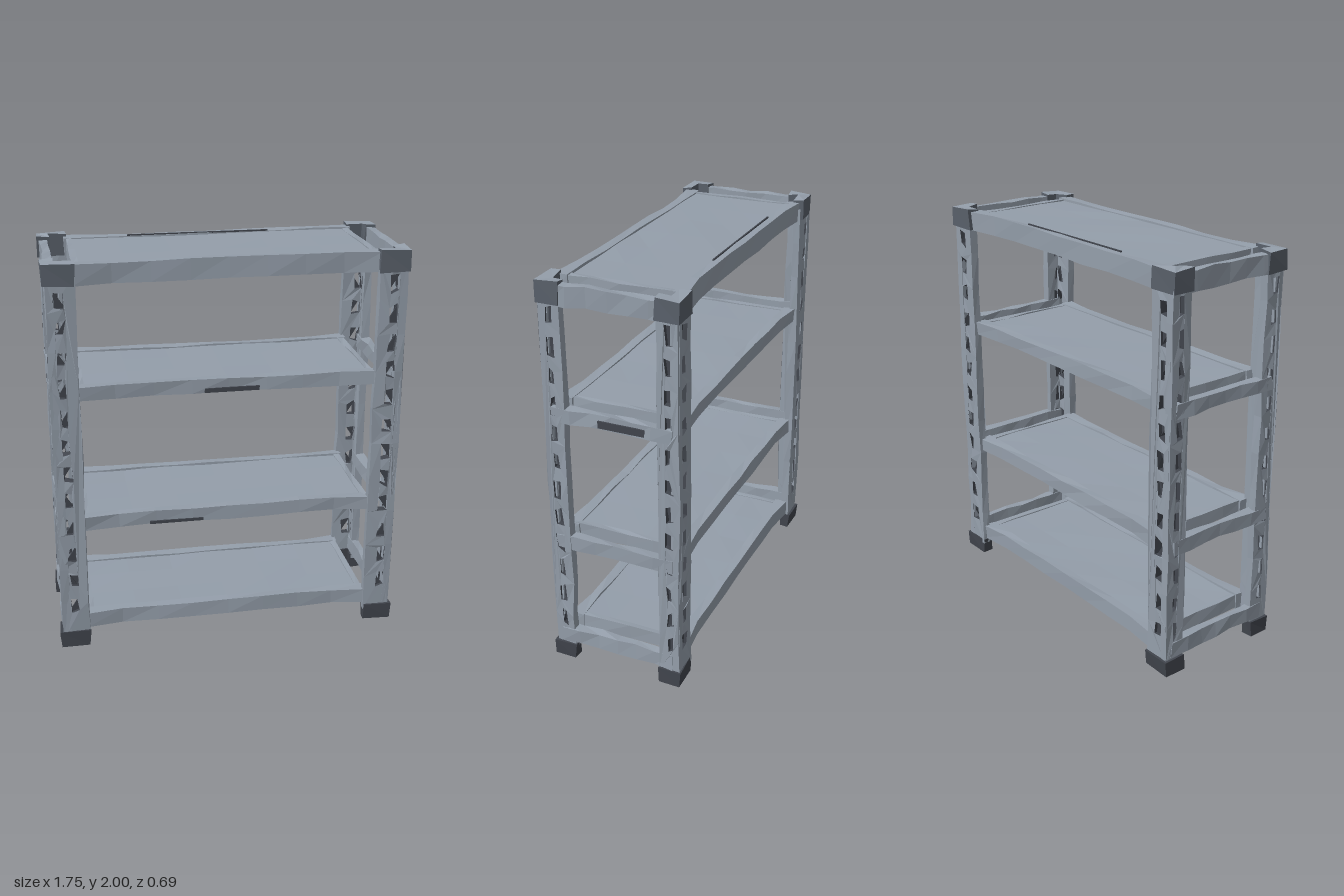
import * as THREE from 'three';

// Repeatable noise from a position, so coincident corners move together
function noise(x, y, z, k) {
  const s = Math.sin(Math.round(x * 500) * 12.9898 + Math.round(y * 500) * 78.233
    + Math.round(z * 500) * 37.719 + k * 4.137) * 43758.5453;
  return (s - Math.floor(s)) * 2 - 1;
}

// Facet a geometry and give it a slightly hammered, hand-cut outline
function roughen(geometry, amount, bend) {
  const g = geometry.index ? geometry.toNonIndexed() : geometry;
  const p = g.attributes.position;
  for (let i = 0; i < p.count; i++) {
    const x = p.getX(i), y = p.getY(i), z = p.getZ(i);
    const v = new THREE.Vector3(
      x + amount * noise(x, y, z, 1),
      Math.max(0, y + amount * noise(x, y, z, 2)),
      z + amount * noise(x, y, z, 3));
    if (bend) bend(v);
    p.setXYZ(i, v.x, v.y, v.z);
  }
  g.computeVertexNormals();
  return g;
}

// Box given by its limits on each axis
function span(x, y, z, seg = [1, 1, 1]) {
  const g = new THREE.BoxGeometry(Math.abs(x[1] - x[0]), Math.abs(y[1] - y[0]), Math.abs(z[1] - z[0]), ...seg);
  return g.translate((x[0] + x[1]) / 2, (y[0] + y[1]) / 2, (z[0] + z[1]) / 2);
}

const HOLES = 12;
const holeY = i => 0.235 + i * 0.145;

// Perforated post flange between a and b; material 0 outside, 1 on the hole walls
function flange(a, b, holeMid, holeHalf, depth, seed) {
  const bottom = 0.06, top = 1.95, steps = 10;
  const edge = [];
  for (const [k, side] of [a, b].entries()) {
    for (let j = 0; j <= steps; j++) {
      const i = k ? steps - j : j;
      edge.push(new THREE.Vector2(side + 0.004 * noise(i, seed, k, k + 1), bottom + (top - bottom) * i / steps));
    }
  }
  const shape = new THREE.Shape(edge);
  for (let i = 0; i < HOLES; i++) {
    const corners = [[-1, -1], [1, -1], [1, 1], [-1, 1]].map(([u, v], k) => new THREE.Vector2(
      holeMid + u * holeHalf * (0.75 + 0.35 * noise(i, k, seed, 5)),
      holeY(i) + v * 0.045 * (0.85 + 0.3 * noise(i, k, seed, 6))));
    shape.holes.push(new THREE.Path(corners));
  }
  const g = new THREE.ExtrudeGeometry(shape, { depth, bevelEnabled: false });
  const outer = g.groups[1].start + edge.length * 6;
  g.clearGroups();
  g.addGroup(0, outer, 0);
  g.addGroup(outer, g.attributes.position.count - outer, 1);
  return g;
}

// Thin triangular webs partly closing each hole
function webs(mid, half, seed) {
  const shapes = [];
  for (let i = 0; i < HOLES; i++) {
    const y = holeY(i), s = noise(i, seed, 3, 7) > 0 ? 1 : -1, v = noise(i, seed, 4, 8) > 0 ? 1 : -1;
    shapes.push(new THREE.Shape([
      new THREE.Vector2(mid - half, y - v * 0.05),
      new THREE.Vector2(mid + half, y - v * 0.05),
      new THREE.Vector2(mid + s * half, y + v * 0.045)]));
  }
  return new THREE.ExtrudeGeometry(shapes, { depth: 0.008, bevelEnabled: false });
}

export function createModel() {
  const material = (name, color) => {
    const m = new THREE.MeshStandardMaterial({ color });
    m.name = name;
    return m;
  };
  const steel = material('grey steel', 0x949eaa);
  const capSteel = material('cap grey', 0x59606a);
  const dark = material('dark steel', 0x41454d);
  const darkBelow = [steel, steel, steel, dark, steel, steel];

  const model = new THREE.Group();
  model.name = 'shelvingUnit';
  const add = (parent, name, geometry, mat) => {
    const m = new THREE.Mesh(geometry, mat);
    m.name = name;
    parent.add(m);
  };

  // Four angle posts, each with a foot and a top cap
  for (const sx of [-1, 1]) for (const sz of [-1, 1]) {
    const post = new THREE.Group();
    post.name = (sz > 0 ? 'front' : 'back') + (sx > 0 ? 'Left' : 'Right') + 'Post';
    model.add(post);
    const seed = 5 + sx * 2 + sz;

    const face = flange(sx * 0.722, sx * 0.852, sx * 0.798, 0.027, 0.04, seed);
    face.translate(0, 0, sz > 0 ? 0.294 : -0.334);
    add(post, 'wideFlange', roughen(face, 0.004), [steel, dark]);
    add(post, 'holeWebs', webs(sx * 0.798, 0.03, seed).translate(0, 0, sz * 0.314 - 0.004), dark);

    const side = flange(sz * 0.23, sz * 0.334, sz * 0.285, 0.02, 0.04, seed + 10);
    side.rotateY(-Math.PI / 2).translate(sx > 0 ? 0.86 : -0.82, 0, 0);
    add(post, 'sideFlange', roughen(side, 0.004), [steel, dark]);
    add(post, 'sideLining', span([sx * 0.828, sx * 0.836], [0.17, 1.88], [sz * 0.255, sz * 0.312]), dark);

    // L-shaped ends wrapping the post
    const ends = [['foot', 0, 0.085, dark], ['cap', 1.89, 1.995, [steel, capSteel]]];
    for (const [name, y0, y1, mat] of ends) {
      const L = [[0.722, 0.34], [0.87, 0.34], [0.87, 0.228], [0.812, 0.228], [0.812, 0.286], [0.722, 0.286]];
      const s = new THREE.Shape(L.map(([x, z]) => new THREE.Vector2(sx * x, -sz * z)));
      const g = new THREE.ExtrudeGeometry(s, { depth: y1 - y0, bevelEnabled: false });
      g.rotateX(-Math.PI / 2).translate(0, y0, 0);
      add(post, name, roughen(g, 0.006), mat);
    }
  }

  // Four shelves: panel, raised rims, and open side beams
  const levels = [[0.09, 0.17], [0.64, 0.71], [1.32, 1.388], [1.885, 1.982]];
  levels.forEach(([y0, y1], n) => {
    const shelf = new THREE.Group();
    shelf.name = 'shelf' + (n + 1);
    model.add(shelf);

    add(shelf, 'panel', roughen(
      span([-0.715, 0.715], [y0 + 0.004, y1 - 0.008], [-0.28, 0.28], [6, 1, 3]), 0.003), darkBelow);

    for (const s of [-1, 1]) {
      // Long rim flares out to meet the posts
      const rim = span([-0.735, 0.735], [y0, y1], [s * 0.253, s * 0.298], [8, 1, 1]);
      add(shelf, s > 0 ? 'frontRim' : 'backRim', roughen(rim, 0.004, v => {
        if (Math.abs(v.x) > 0.65 && Math.abs(v.z) > 0.28) v.z += s * 0.022;
      }), darkBelow);

      // Short rim closing the panel end
      add(shelf, s > 0 ? 'leftRim' : 'rightRim', roughen(
        span([s * 0.695, s * 0.726], [y0 + 0.002, y1 - 0.004], [-0.285, 0.285], [1, 1, 4]), 0.004), darkBelow);

      // Side beam between the posts, slimmer at mid-span
      const beam = span([s * 0.815, s * 0.862], [y0, y1], [-0.3, 0.3], [1, 1, 6]);
      add(shelf, s > 0 ? 'leftBeam' : 'rightBeam', roughen(beam, 0.005, v => {
        if (Math.abs(v.z) < 0.15 && Math.abs(v.x) > 0.84) v.x -= s * 0.008;
      }), steel);
    }
  });

  // Dark worn patches on the rims and beam
  const patches = [
    [[-0.12, 0.15], [1.323, 1.345], [0.297, 0.305]],
    [[-0.4, -0.13], [0.643, 0.658], [0.297, 0.305]],
    [[-0.42, 0.3], [1.979, 1.986], [-0.262, -0.254]],
    [[0.856, 0.864], [1.33, 1.365], [-0.17, 0.06]],
  ];
  patches.forEach(p => add(model, 'wornPatch', span(...p), dark));

  return model;
}
